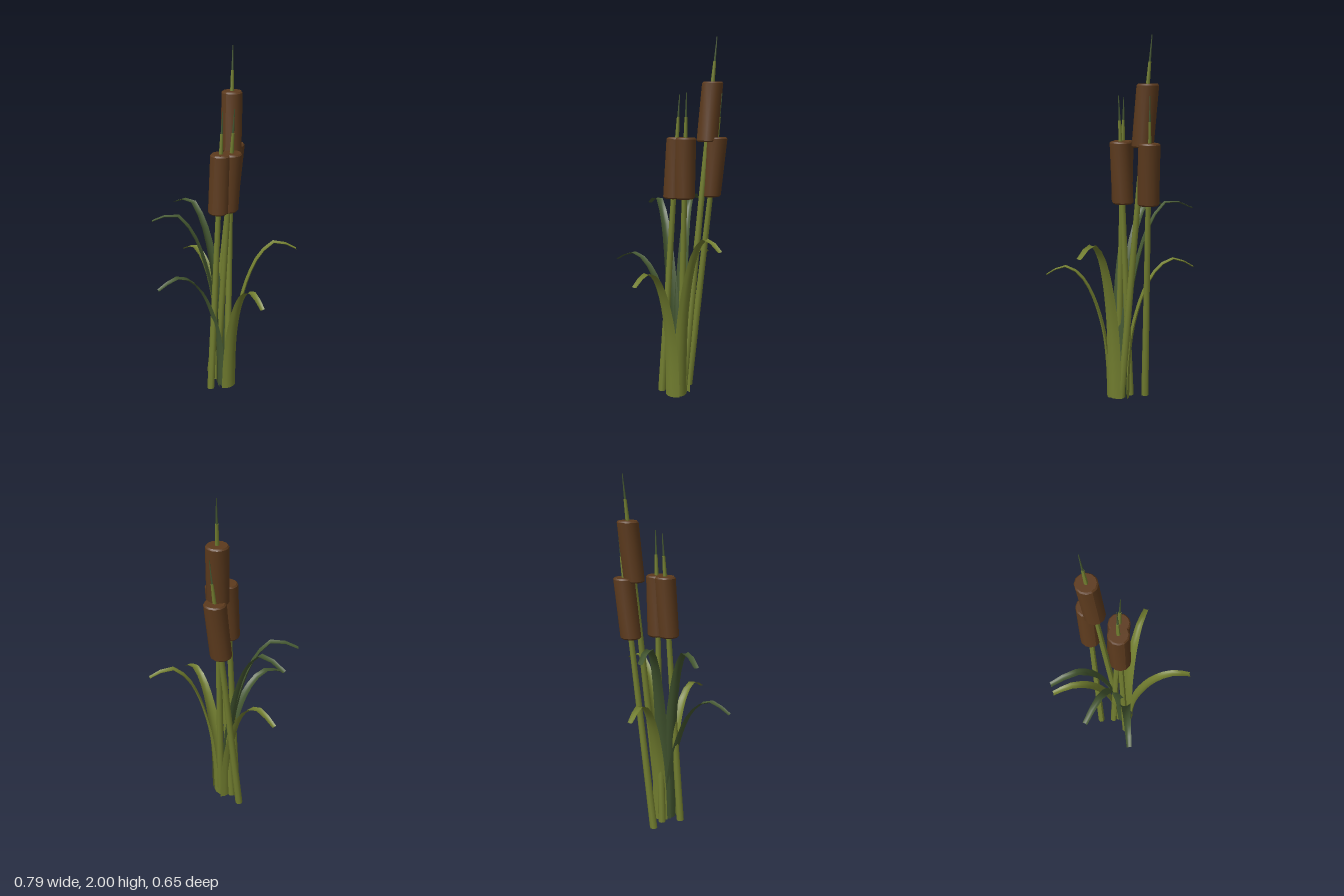
import * as THREE from 'three';

function makeMaterial(name, color) {
  const material = new THREE.MeshStandardMaterial({ color, side: THREE.DoubleSide });
  material.name = name;
  return material;
}
const olive = makeMaterial('olive green', 0x717d2f);
const dark = makeMaterial('dark green', 0x435630);
const brown = makeMaterial('seed head brown', 0x5c3a1d);

// Round part about an upright axis, leaned so that it runs from base to tip
function leaningLathe(name, material, profile, sides, base, tip) {
  const geo = new THREE.LatheGeometry(profile.map(([r, y]) => new THREE.Vector2(r, y)), sides);
  const pos = geo.attributes.position;
  for (let i = 0; i < pos.count; i++) {
    const t = pos.getY(i) / tip[1];
    pos.setX(i, pos.getX(i) + base[0] + (tip[0] - base[0]) * t);
    pos.setZ(i, pos.getZ(i) + base[1] + (tip[2] - base[1]) * t);
  }
  geo.computeVertexNormals();
  const mesh = new THREE.Mesh(geo, material);
  mesh.name = name;
  return mesh;
}

// Stem, the seed head around it and the dark pointed spike above
function makeReed(base, tip, bottom, top) {
  const reed = new THREE.Group();
  reed.name = 'reed';
  const neck = top + 0.11;
  reed.add(
    leaningLathe('stem', olive, [
      [0, 0], [0.022, 0], [0.022, 0], [0.015, bottom], [0.011, top], [0.008, neck], [0.008, neck], [0, neck],
    ], 8, base, tip),
    leaningLathe('seedHead', brown, [
      [0, bottom], [0.051, bottom], [0.051, bottom], [0.058, bottom + 0.008], [0.058, bottom + 0.008],
      [0.058, top - 0.008], [0.058, top - 0.008], [0.051, top], [0.051, top], [0, top],
    ], 12, base, tip),
    leaningLathe('spike', dark, [[0.006, neck], [0.002, tip[1]], [0, tip[1]]], 6, base, tip),
  );
  return reed;
}

// Arching blade with a channelled section, narrowing to a blunt tip
function makeLeaf(material, [bx, bz], [tx, tz], peak) {
  const dx = tx - bx, dz = tz - bz, len = Math.hypot(dx, dz);
  const out = new THREE.Vector3(dx / len, 0, dz / len);
  const side = new THREE.Vector3(out.z, 0, -out.x);
  const arch = [[0, 0], [0.02, 0.27], [0.09, 0.53], [0.27, 0.8], [0.44, 0.93], [0.65, 1], [0.82, 0.985]];
  const points = arch.map(([d, h]) => new THREE.Vector3(bx + dx * d, peak * h, bz + dz * d));
  points.push(new THREE.Vector3(tx, peak - 0.047, tz));
  const curve = new THREE.CatmullRomCurve3(points);
  const rows = 16, cols = 4, verts = [], index = [];
  for (let i = 0; i <= rows; i++) {
    const t = i / rows;
    const p = curve.getPointAt(t);
    const normal = new THREE.Vector3().crossVectors(curve.getTangentAt(t), side).normalize();
    const half = 0.046 - 0.032 * t ** 1.4;
    for (let j = 0; j <= cols; j++) {
      const s = (j / cols) * 2 - 1;
      const v = p.clone().addScaledVector(side, s * half).addScaledVector(normal, s * s * half * 0.4);
      verts.push(v.x, Math.max(0, v.y), v.z);
      if (i < rows && j < cols) {
        const a = i * (cols + 1) + j, b = a + cols + 1;
        index.push(a, b, a + 1, a + 1, b, b + 1);
      }
    }
  }
  const geo = new THREE.BufferGeometry();
  geo.setAttribute('position', new THREE.Float32BufferAttribute(verts, 3));
  geo.setIndex(index);
  geo.computeVertexNormals();
  const leaf = new THREE.Mesh(geo, material);
  leaf.name = 'leaf';
  return leaf;
}

export function createModel() {
  const model = new THREE.Group();
  model.name = 'reedClump';

  // Reeds: base (x, z), tip, bottom and top of the seed head
  model.add(
    makeReed([0.02, -0.09], [-0.075, 2, -0.26], 1.435, 1.76),
    makeReed([-0.12, -0.11], [-0.052, 1.7, -0.292], 1.13, 1.46),
    makeReed([-0.045, -0.07], [0.043, 1.7, -0.107], 1.125, 1.46),
    makeReed([-0.015, 0.035], [-0.004, 1.69, -0.065], 1.125, 1.46),
  );

  // Leaves: colour, base (x, z), tip (x, z), height of the arch
  const leaves = [
    [olive, [0.068, -0.088], [0.34, -0.31], 0.94],
    [olive, [0.082, -0.03], [0.385, 0.12], 0.755],
    [dark, [0.01, -0.02], [-0.165, 0.315], 0.785],
    [dark, [-0.01, -0.03], [-0.34, 0.148], 1.1],
    [dark, [-0.02, -0.07], [-0.39, -0.13], 1.125],
    [olive, [-0.03, -0.09], [-0.375, -0.19], 0.8],
  ];
  for (const leaf of leaves) model.add(makeLeaf(...leaf));
  return model;
}
